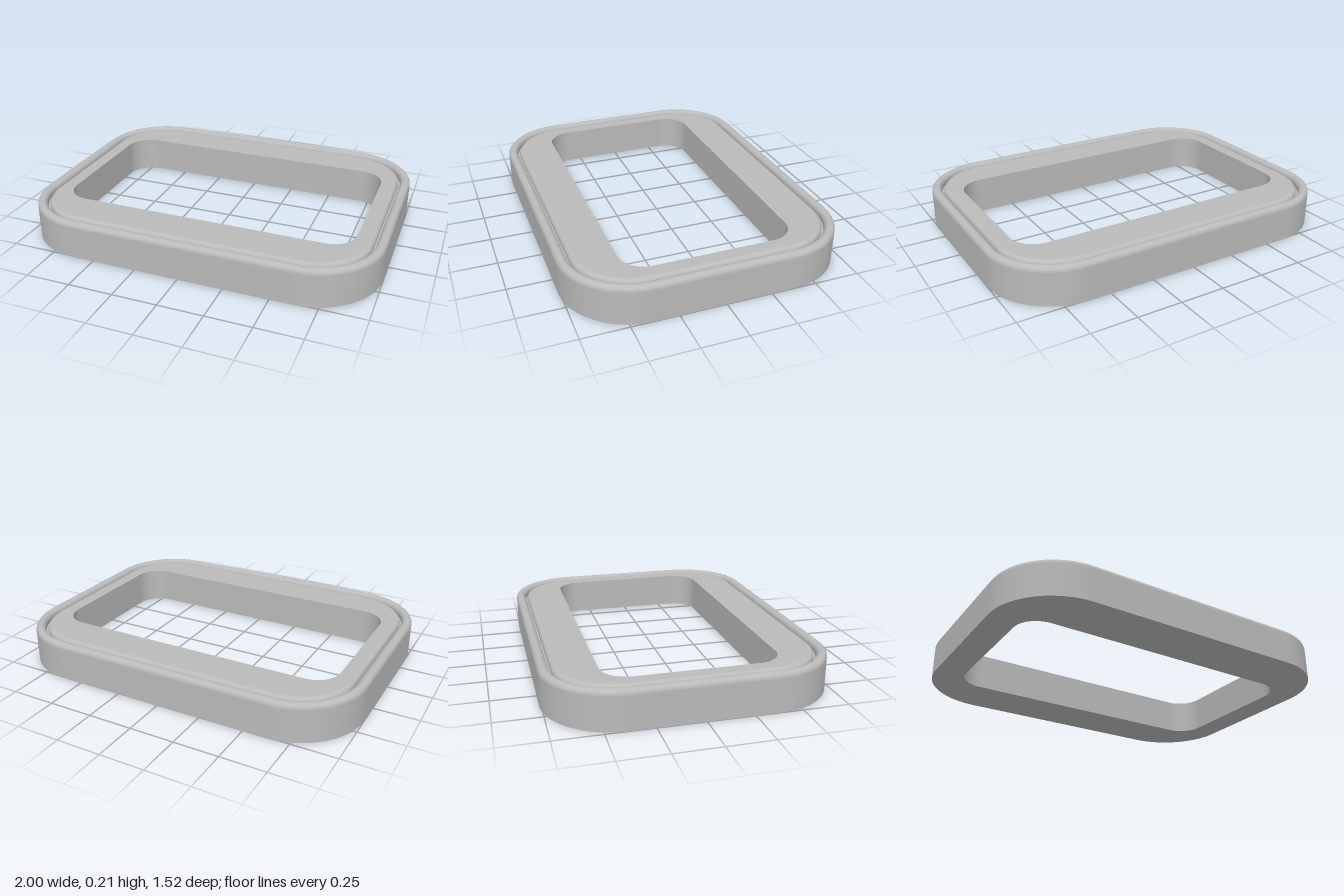
import * as THREE from 'three';

const CORNER_STEPS = 20;

// One closed rounded-rectangle ring: half sizes, corner radius, height
function ring(hx, hz, r, y) {
  const points = [];
  [[1, 1], [-1, 1], [-1, -1], [1, -1]].forEach(([sx, sz], corner) => {
    for (let i = 0; i <= CORNER_STEPS; i++) {
      const a = (corner + i / CORNER_STEPS) * Math.PI / 2;
      points.push([sx * (hx - r) + r * Math.cos(a), y, sz * (hz - r) + r * Math.sin(a)]);
    }
  });
  return points;
}

// Outer outline moved inwards by a distance, and the outline of the opening
const inset = (d, y) => ring(1 - d, 0.76 - d, 0.38 - d, y);
const opening = (y) => ring(0.84, 0.467, 0.14, y);

// Smooth closed band through successive rings
function band(name, rings, material) {
  const n = rings[0].length;
  const index = [];
  for (let k = 0; k < rings.length - 1; k++) {
    for (let i = 0; i < n; i++) {
      const a = k * n + i, b = k * n + (i + 1) % n;
      index.push(a, a + n, b, b, a + n, b + n);
    }
  }
  const geometry = new THREE.BufferGeometry();
  geometry.setAttribute('position', new THREE.Float32BufferAttribute(rings.flat(2), 3));
  geometry.setIndex(index);
  geometry.computeVertexNormals();
  const mesh = new THREE.Mesh(geometry, material);
  mesh.name = name;
  return mesh;
}

// Rings following a circular arc in the cross-section, from angle a0 to a1
function arc(d, y, r, a0, a1, steps) {
  return Array.from({ length: steps + 1 }, (_, i) => {
    const a = a0 + (a1 - a0) * i / steps;
    return inset(d - r * Math.cos(a), y + r * Math.sin(a));
  });
}

export function createModel() {
  const group = new THREE.Group();
  group.name = 'roundedFrame';
  const grey = new THREE.MeshStandardMaterial({ color: 0xbababa });
  grey.name = 'grey';

  const rim = 0.028, rimY = 0.212 - rim;
  const lip = 0.026, panelY = 0.205;
  const grooveY = 0.17, grooveOut = 2 * rim, grooveIn = 0.068;

  group.add(
    band('outerWall', [inset(0, 0), inset(0, rimY)], grey),
    // Rounded raised rim
    band('rim', arc(rim, rimY, rim, 0, Math.PI, 14), grey),
    // Groove between rim and panel
    band('grooveOuterWall', [inset(grooveOut, rimY), inset(grooveOut, grooveY)], grey),
    band('grooveFloor', [inset(grooveOut, grooveY), inset(grooveIn, grooveY)], grey),
    band('grooveInnerWall', [inset(grooveIn, grooveY), inset(grooveIn, panelY - lip)], grey),
    // Panel with rounded edge around the opening
    band('panelEdge', arc(grooveIn + lip, panelY - lip, lip, 0, Math.PI / 2, 8), grey),
    band('panelTop', [inset(grooveIn + lip, panelY), opening(panelY)], grey),
    band('openingWall', [opening(panelY), opening(0)], grey),
    band('underside', [opening(0), inset(0, 0)], grey)
  );
  return group;
}
